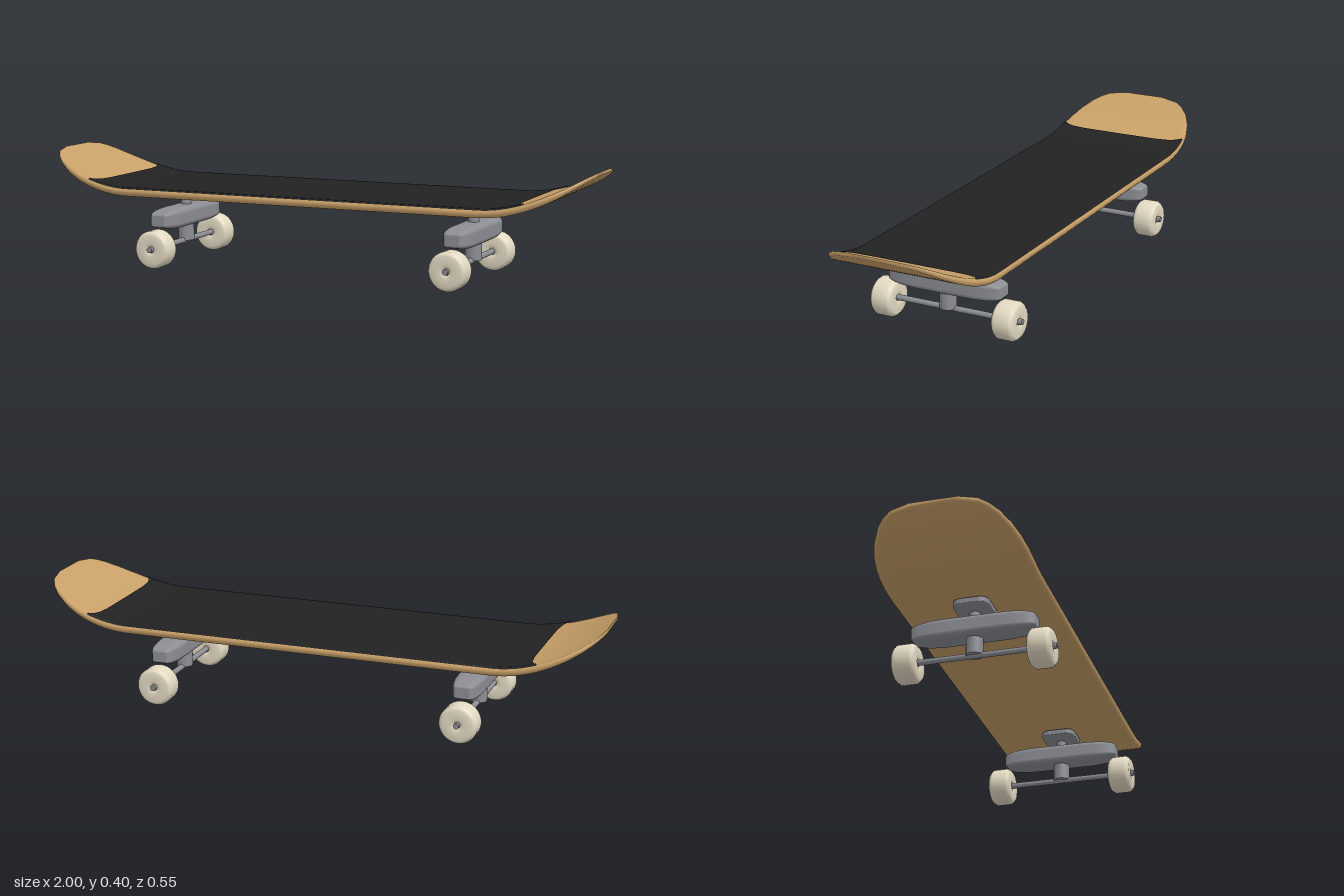
import * as THREE from 'three';
import { RoundedBoxGeometry } from 'three/addons/geometries/RoundedBoxGeometry.js';

const mat = (name, color, side = THREE.FrontSide) => {
  const m = new THREE.MeshStandardMaterial({ color, side });
  m.name = name;
  return m;
};

// Deck profile: flat middle, kicked-up ends, rounded outline
const topY = (x) => 0.278 + 0.117 * Math.pow(Math.max(0, (Math.abs(x) - 0.66) / 0.34), 1.8);
const OUTLINE = [[0, 0.256], [0.74, 0.256], [0.8, 0.252], [0.85, 0.243], [0.9, 0.226], [0.945, 0.199], [0.97, 0.174], [0.987, 0.147], [1, 0.085]];
function halfWidth(x) {
  const a = Math.min(1, Math.abs(x));
  const i = Math.max(1, OUTLINE.findIndex((p) => p[0] >= a));
  const [x0, w0] = OUTLINE[i - 1], [x1, w1] = OUTLINE[i];
  return w0 + (w1 - w0) * (a - x0) / (x1 - x0);
}
const thickness = (x) => 0.027 - 0.015 * Math.pow(Math.abs(x), 12);

// Skin a list of equal-length rows of points
function skin(rows, closed) {
  const n = rows[0].length, index = [];
  for (let i = 0; i < rows.length - 1; i++) {
    for (let j = 0; j < (closed ? n : n - 1); j++) {
      const k = (j + 1) % n;
      const a = i * n + j, b = i * n + k, c = a + n, d = b + n;
      index.push(a, c, b, b, c, d);
    }
  }
  if (closed) {
    const e = (rows.length - 1) * n;
    for (let j = 1; j < n - 1; j++) index.push(0, j, j + 1, e, e + j + 1, e + j);
  }
  const g = new THREE.BufferGeometry();
  g.setAttribute('position', new THREE.Float32BufferAttribute(rows.flat(2), 3));
  g.setIndex(index);
  g.computeVertexNormals();
  return g;
}

function deckGeometry() {
  const half = [0.3, 0.6, 0.66, 0.7, 0.74, 0.77, 0.8, 0.825, 0.85, 0.875, 0.9, 0.9225, 0.945, 0.97, 0.987, 1];
  const stations = [...half.map((x) => -x).reverse(), 0, ...half];
  return skin(stations.map((x) => {
    const w = halfWidth(x), t = topY(x), h = thickness(x);
    const across = [w - 0.006, w - 0.016, w * 0.6, 0, -w * 0.6, -w + 0.016, -w + 0.006];
    return [
      ...across.map((z) => [x, t, z]),
      [x, t - h * 0.3, -w], [x, t - h * 0.65, -w],
      ...across.map((z) => [x, t - h, -z]),
      [x, t - h * 0.65, w], [x, t - h * 0.3, w],
    ];
  }), true);
}

// Grip sheet over the deck, with ends that curve outwards at the edges
function gripGeometry() {
  const us = [1, 0.99, 0.97, 0.94, 0.88, 0.8, 0.6, 0, -0.6, -0.8, -0.88, -0.94, -0.97, -0.99, -1];
  const rows = [];
  for (let i = 0; i <= 80; i++) {
    rows.push(us.map((u) => {
      const x = (i / 40 - 1) * (0.778 + 0.03 * Math.pow(Math.abs(u), 8));
      return [x, topY(x) + (Math.abs(u) === 1 ? -0.002 : 0.004), u * (halfWidth(x) - 0.004)];
    }));
  }
  return skin(rows, false);
}

function wheelGeometry() {
  const profile = [[0.010, -0.034], [0.016, -0.037], [0.024, -0.04], [0.053, -0.04], [0.061, -0.033], [0.067, -0.024],
    [0.067, 0.024], [0.061, 0.033], [0.053, 0.04], [0.024, 0.04], [0.016, 0.037], [0.010, 0.034]];
  return new THREE.LatheGeometry(profile.map(([r, y]) => new THREE.Vector2(r, y)), 32).rotateX(Math.PI / 2);
}

// Box whose rounding stretches with its proportions
const softBox = (x, y, z, r) => new RoundedBoxGeometry(1, 1, 1, 4, r).scale(x, y, z);

export function createModel() {
  const model = new THREE.Group();
  model.name = 'skateboard';
  const wood = mat('wood', 0xc8a068);
  const grip = mat('grip black', 0x222222, THREE.DoubleSide);
  const metal = mat('metal grey', 0x8c8e94);
  const cream = mat('wheel cream', 0xe3dac3);

  const add = (parent, name, geometry, material, y = 0, z = 0) => {
    const mesh = new THREE.Mesh(geometry, material);
    mesh.name = name;
    mesh.position.set(0, y, z);
    parent.add(mesh);
  };

  add(model, 'deck', deckGeometry(), wood);
  add(model, 'gripTape', gripGeometry(), grip);

  // Trucks with axle and wheels
  const wheel = wheelGeometry();
  for (const side of [-1, 1]) {
    const truck = new THREE.Group();
    truck.name = side > 0 ? 'leftTruck' : 'rightTruck';
    truck.position.x = side * 0.55;
    model.add(truck);
    add(truck, 'basePlate', softBox(0.146, 0.03, 0.124, 0.25), metal, 0.236);
    add(truck, 'upperPost', new THREE.CylinderGeometry(0.019, 0.019, 0.05, 20), metal, 0.21);
    add(truck, 'hanger', softBox(0.098, 0.073, 0.424, 0.28), metal, 0.1635);
    add(truck, 'lowerPost', new THREE.CylinderGeometry(0.029, 0.029, 0.07, 20), metal, 0.104);
    add(truck, 'axle', new THREE.CylinderGeometry(0.01, 0.01, 0.552, 16).rotateX(Math.PI / 2), metal, 0.069);
    for (const s of [-1, 1]) add(truck, s > 0 ? 'frontWheel' : 'backWheel', wheel, cream, 0.067, s * 0.227);
  }
  return model;
}
